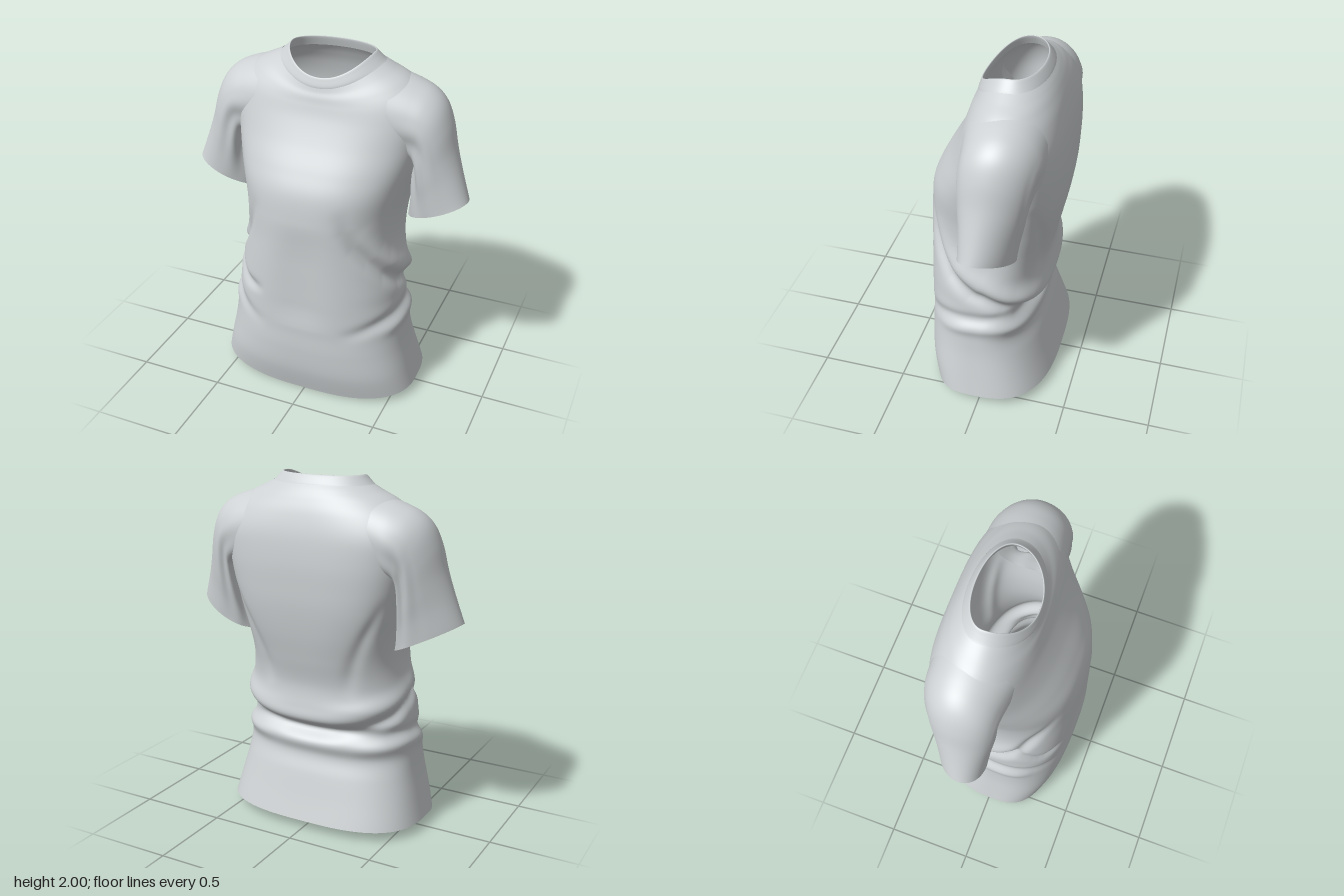
import * as THREE from 'three';

const { smoothstep, lerp, clamp, radToDeg, euclideanModulo } = THREE.MathUtils;
const fabric = new THREE.MeshStandardMaterial({ color: 0xcdd1d3, side: THREE.DoubleSide });
fabric.name = 'light grey fabric';

// Smooth sampling of a short table of section parameters, t in 0..1
function sample(rows, t) {
  const last = rows.length - 1, f = t * last, i = Math.min(Math.floor(f), last - 1), u = f - i;
  const a = rows[Math.max(i - 1, 0)], b = rows[i], c = rows[i + 1], d = rows[Math.min(i + 2, last)];
  return b.map((p, k) => {
    const m0 = (c[k] - a[k]) / 2, m1 = (d[k] - p) / 2, u2 = u * u, u3 = u2 * u;
    return (2 * u3 - 3 * u2 + 1) * p + (u3 - 2 * u2 + u) * m0 + (3 * u2 - 2 * u3) * c[k] + (u3 - u2) * m1;
  });
}

// Skin of closed rings; point(section, angle, t) returns [x, y, z]
function loft(name, rows, around, along, point) {
  const pos = [], index = [];
  for (let j = 0; j <= along; j++) {
    const section = sample(rows, j / along);
    for (let i = 0; i < around; i++) {
      pos.push(...point(section, (i / around) * Math.PI * 2, j / along));
      if (j === along) continue;
      const n = (i + 1) % around, a = j * around + i, b = j * around + n;
      index.push(a, a + around, b, b, a + around, b + around);
    }
  }
  const g = new THREE.BufferGeometry();
  g.setAttribute('position', new THREE.Float32BufferAttribute(pos, 3));
  g.setIndex(index);
  g.computeVertexNormals();
  const mesh = new THREE.Mesh(g, fabric);
  mesh.name = name;
  return mesh;
}

// Cloth folds: depth, width, path of [degrees, height]; 0 = left side, 90 = front, -90 = back
const folds = [
  [-0.035, 0.045, [[70, 1.28], [52, 1.02], [5, 0.74], [-75, 0.58], [-110, 0.57]]],
  [0.026, 0.06, [[50, 1.15], [22, 0.9], [-30, 0.73], [-100, 0.66]]],
  [-0.03, 0.04, [[120, 1.25], [146, 0.98], [175, 0.76], [255, 0.59], [290, 0.57]]],
  [0.02, 0.055, [[145, 0.9], [190, 0.8], [280, 0.66]]],
  [-0.022, 0.035, [[112, 0.66], [140, 0.68], [172, 0.86]]],
  [-0.018, 0.04, [[72, 0.44], [25, 0.55], [-40, 0.6]]],
  [-0.018, 0.04, [[108, 0.42], [160, 0.55], [220, 0.6]]],
  [0.014, 0.04, [[40, 0.46], [-10, 0.52], [-70, 0.49]]],
  [0.014, 0.04, [[145, 0.46], [190, 0.53], [250, 0.49]]],
  [-0.012, 0.05, [[-25, 1.4], [-50, 1.1], [-65, 0.8]]],
  [-0.012, 0.05, [[205, 1.4], [230, 1.1], [245, 0.8]]],
  [-0.014, 0.1, [[90, 1.15], [90, 0.45]]],
].map(([depth, width, path]) => {
  const curve = new THREE.SplineCurve(path.map(([d, y]) => new THREE.Vector2(d, y)));
  return { depth, width, path: curve.getPoints(12) };
});

// Each fold is a soft groove or ridge that fades towards its ends
function foldOffset(angle, y) {
  const deg = radToDeg(angle), scale = 0.0075;
  let sum = 0;
  for (const { depth, width, path } of folds) {
    let best = Infinity, along = 0;
    for (let k = 0; k < path.length - 1; k++) {
      const p = path[k], q = path[k + 1];
      const px = (euclideanModulo(deg - p.x + 180, 360) - 180) * scale, py = y - p.y;
      const ex = (q.x - p.x) * scale, ey = q.y - p.y;
      const u = clamp((px * ex + py * ey) / (ex * ex + ey * ey), 0, 1);
      const distance = Math.hypot(px - u * ex, py - u * ey);
      if (distance < best) {
        best = distance;
        along = (k + u) / (path.length - 1);
      }
    }
    const fade = smoothstep(along, 0, 0.4) * smoothstep(1 - along, 0, 0.3);
    sum += depth * fade * Math.exp(-((best / width) ** 2));
  }
  return sum;
}

// Rounded, slightly squared ring: front height, back height, half width, front z, back z
function ringPoint([yFront, yBack, width, zFront, zBack], angle) {
  const c = Math.cos(angle), s = Math.sin(angle);
  const hem = 0.4 * (1 - smoothstep(yBack, 0.05, 0.5));
  const blades = s < 0 ? 0.7 * smoothstep(yBack, 0.9, 1.3) * (1 - smoothstep(yBack, 1.65, 1.9)) : 0;
  const squareness = 2.45 + hem + blades - 0.35 * smoothstep(yBack, 1.7, 1.95);
  const zSide = lerp(0.035, -0.1, smoothstep(yBack, 0.4, 1.5));
  const y = s > 0 ? lerp(yBack, yFront, s * s) : yBack;
  const z = lerp(zSide, s > 0 ? zFront : zBack, Math.abs(s) ** (2 / squareness));
  return [width * Math.sign(c) * Math.abs(c) ** (2 / squareness), y, z];
}

function bodyPoint(section, angle) {
  const [x, y, z] = ringPoint(section, angle), push = foldOffset(angle, y);
  return [x + push * Math.cos(angle), y, z + push * Math.sin(angle)];
}

const bodyRows = [
  [0, 0.055, 0.6, 0.335, -0.38],
  [0.15, 0.18, 0.57, 0.372, -0.34],
  [0.3, 0.315, 0.54, 0.385, -0.3],
  [0.42, 0.42, 0.525, 0.385, -0.265],
  [0.5, 0.5, 0.518, 0.387, -0.282],
  [0.58, 0.58, 0.505, 0.388, -0.255],
  [0.65, 0.645, 0.495, 0.389, -0.312],
  [0.74, 0.725, 0.488, 0.389, -0.31],
  [0.86, 0.85, 0.468, 0.389, -0.3],
  [1, 1, 0.445, 0.388, -0.33],
  [1.15, 1.15, 0.45, 0.383, -0.36],
  [1.3, 1.3, 0.48, 0.362, -0.38],
  [1.42, 1.42, 0.51, 0.308, -0.386],
  [1.55, 1.55, 0.535, 0.235, -0.386],
  [1.67, 1.69, 0.55, 0.177, -0.372],
  [1.745, 1.805, 0.52, 0.15, -0.343],
  [1.785, 1.877, 0.44, 0.138, -0.312],
  [1.812, 1.922, 0.35, 0.127, -0.285],
  [1.835, 1.95, 0.295, 0.12, -0.262],
];

// Neck band: rises from the seam, rolls over the edge and returns inside
const collarRows = [
  [1.828, 1.946, 0.298, 0.12, -0.263],
  [1.842, 1.957, 0.284, 0.12, -0.258],
  [1.868, 1.98, 0.26, 0.112, -0.243],
  [1.886, 1.998, 0.242, 0.105, -0.228],
  [1.88, 1.992, 0.237, 0.099, -0.222],
  [1.845, 1.945, 0.255, 0.105, -0.235],
];

// Sleeve sections: outer x, y, inner x, y, front z, back z
const sleeveRows = [
  [0.37, 1.9, 0.38, 1.46, 0.115, -0.335],
  [0.48, 1.868, 0.45, 1.44, 0.098, -0.33],
  [0.57, 1.828, 0.485, 1.42, 0.088, -0.312],
  [0.635, 1.765, 0.488, 1.38, 0.084, -0.295],
  [0.68, 1.665, 0.484, 1.32, 0.08, -0.28],
  [0.715, 1.53, 0.478, 1.25, 0.072, -0.262],
  [0.757, 1.4, 0.468, 1.17, 0.06, -0.24],
  [0.81, 1.25, 0.457, 1.08, 0.05, -0.22],
];

function sleevePoint([outX, outY, inX, inY, zFront, zBack], angle, t) {
  const c = Math.cos(angle), s = Math.sin(angle);
  // Creases fan out from the underarm and fade at the hem
  const under = Math.max(0, 0.45 - c) * Math.sin(Math.PI * t);
  const ripple = 1 + 0.06 * under * Math.sin(angle * 9 + t * 5);
  const k = (1 + c * ripple) / 2, zOut = -0.12 + 0.07 * t * t;
  const zMid = lerp(-0.12, zOut, 0.5);
  const z = lerp(-0.12, zOut, k) + ((s > 0 ? zFront : zBack) - zMid) * Math.abs(s) * ripple;
  return [lerp(inX, outX, k), lerp(inY, outY, k), z];
}

export function createModel() {
  const shirt = new THREE.Group();
  shirt.name = 'shirt';
  shirt.add(loft('body', bodyRows, 180, 150, bodyPoint));
  shirt.add(loft('collar', collarRows, 120, 20, ringPoint));
  for (const [name, side] of [['leftSleeve', 1], ['rightSleeve', -1]]) {
    shirt.add(loft(name, sleeveRows, 96, 48, (section, angle, t) => {
      const [x, y, z] = sleevePoint(section, -side * angle, t);
      return [side * x, y, z];
    }));
  }
  return shirt;
}
